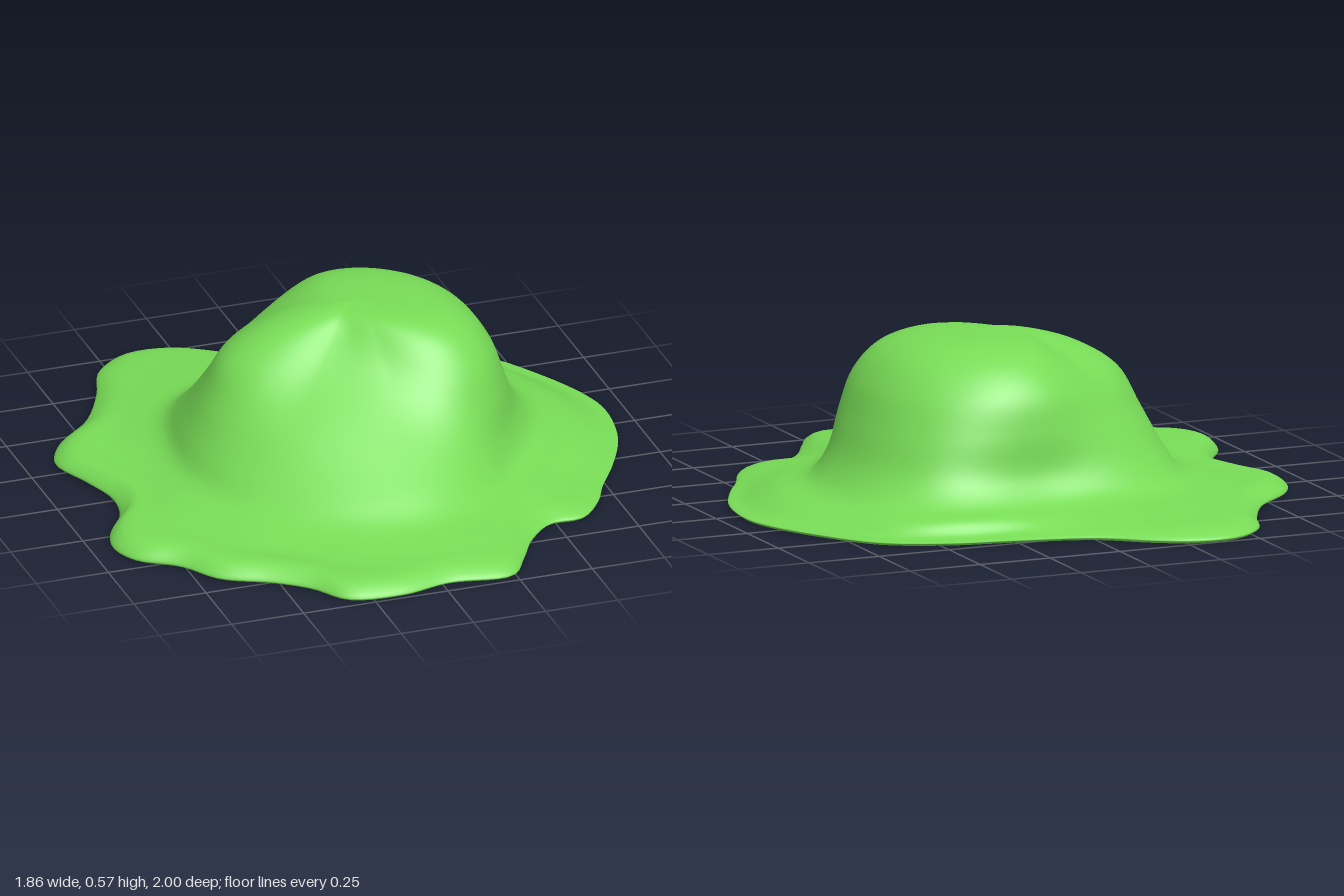
import * as THREE from 'three';
import { mergeVertices } from 'three/addons/utils/BufferGeometryUtils.js';

// Brim outline in plan, [x, z], from the right side round by the front
const OUTLINE = [
  [0.93, -0.08], [0.9, 0.12], [0.82, 0.3], [0.73, 0.45], [0.68, 0.55], [0.59, 0.65], [0.48, 0.655],
  [0.38, 0.75], [0.31, 0.87], [0.23, 0.98], [0.02, 0.96], [-0.15, 0.995], [-0.33, 0.97],
  [-0.42, 0.85], [-0.52, 0.77], [-0.68, 0.68], [-0.77, 0.55], [-0.89, 0.46], [-0.93, 0.36],
  [-0.91, 0.26], [-0.83, 0.13], [-0.81, 0], [-0.85, -0.15], [-0.9, -0.3], [-0.85, -0.42],
  [-0.7, -0.57], [-0.6, -0.75], [-0.54, -0.9], [-0.42, -0.995], [-0.28, -0.995], [-0.15, -0.93],
  [0, -0.82], [0.25, -0.75], [0.48, -0.7], [0.68, -0.6], [0.82, -0.4], [0.91, -0.2],
];

// Dome contours: height, then radii every 45 degrees from right, by front, left and back
const CONTOURS = [
  [0.095, [0.61, 0.58, 0.73, 0.70, 0.63, 0.64, 0.53, 0.64]],
  [0.17, [0.54, 0.53, 0.62, 0.60, 0.58, 0.56, 0.475, 0.565]],
  [0.30, [0.485, 0.49, 0.44, 0.45, 0.51, 0.465, 0.46, 0.51]],
  [0.42, [0.435, 0.44, 0.29, 0.28, 0.44, 0.375, 0.43, 0.45]],
  [0.51, [0.36, 0.36, 0.19, 0.155, 0.30, 0.25, 0.35, 0.365]],
  [0.56, [0.25, 0.245, 0.12, 0.085, 0.14, 0.135, 0.235, 0.26]],
];
const CX = 0.05, CZ = -0.05, TOP = 0.578;
const SPOKES = 180, STEPS = 54;

// Smooth periodic lookup in a ring of radii
function ringRadius(radii, angle) {
  const n = radii.length;
  const u = ((angle / (2 * Math.PI)) * n + n) % n;
  const i = Math.floor(u), t = u - i;
  const [a, b, c, d] = [-1, 0, 1, 2].map((k) => radii[(i + k + n) % n]);
  return b + 0.5 * t * (c - a + t * (2 * a - 5 * b + 4 * c - d + t * (3 * (b - c) + d - a)));
}

// One profile from the thin lip, over the brim and up to the crown
function spokeCurve(p) {
  const dx = p.x - CX, dz = p.z - CZ;
  const reach = Math.hypot(dx, dz), angle = Math.atan2(dz, dx);
  const at = (r, y) => new THREE.Vector3(CX + (dx / reach) * r, y, CZ + (dz / reach) * r);
  const base = Math.min(ringRadius(CONTOURS[0][1], angle), reach - 0.09);
  const brim = reach - base;
  // The brim is fuller towards the front left
  const edgeY = 0.042 + 0.018 * Math.cos(angle - 2.7);
  const ripple = 0.005 * Math.sin(5 * angle + 0.6);
  const points = [
    at(reach - 0.012, 0.006),
    at(reach, 0.016),
    at(reach - Math.min(0.05, brim * 0.3), edgeY),
    at(base + brim * 0.45, 0.063 + ripple),
    at(base, CONTOURS[0][0]),
  ];
  for (const [y, radii] of CONTOURS.slice(1)) points.push(at(ringRadius(radii, angle), y));
  points.push(new THREE.Vector3(CX, TOP, CZ));
  return new THREE.CatmullRomCurve3(points);
}

function blobGeometry() {
  const outline = new THREE.CatmullRomCurve3(OUTLINE.map(([x, z]) => new THREE.Vector3(x, 0, z)), true);
  const positions = [], index = [];
  for (let j = 0; j < SPOKES; j++) {
    const curve = spokeCurve(outline.getPointAt(j / SPOKES));
    for (let i = 0; i <= STEPS; i++) {
      const v = curve.getPoint(i / STEPS);
      positions.push(v.x, Math.max(v.y, 0), v.z);
    }
  }
  const id = (j, i) => (j % SPOKES) * (STEPS + 1) + i;
  for (let j = 0; j < SPOKES; j++) {
    for (let i = 0; i < STEPS; i++) {
      const a = id(j, i), b = id(j + 1, i), c = id(j, i + 1), d = id(j + 1, i + 1);
      index.push(a, c, b);
      if (i < STEPS - 1) index.push(b, c, d);
    }
  }
  const geometry = new THREE.BufferGeometry();
  geometry.setAttribute('position', new THREE.Float32BufferAttribute(positions, 3));
  geometry.setIndex(index);
  const welded = mergeVertices(geometry, 1e-5);
  welded.computeVertexNormals();
  return welded;
}

export function createModel() {
  const green = new THREE.MeshStandardMaterial({ color: 0x78dc56, side: THREE.DoubleSide });
  green.name = 'slime green';

  // Hollow dome with a wavy brim, open underneath
  const shell = new THREE.Mesh(blobGeometry(), green);
  shell.name = 'slimeShell';

  const model = new THREE.Group();
  model.name = 'slimeBlob';
  model.add(shell);
  return model;
}
